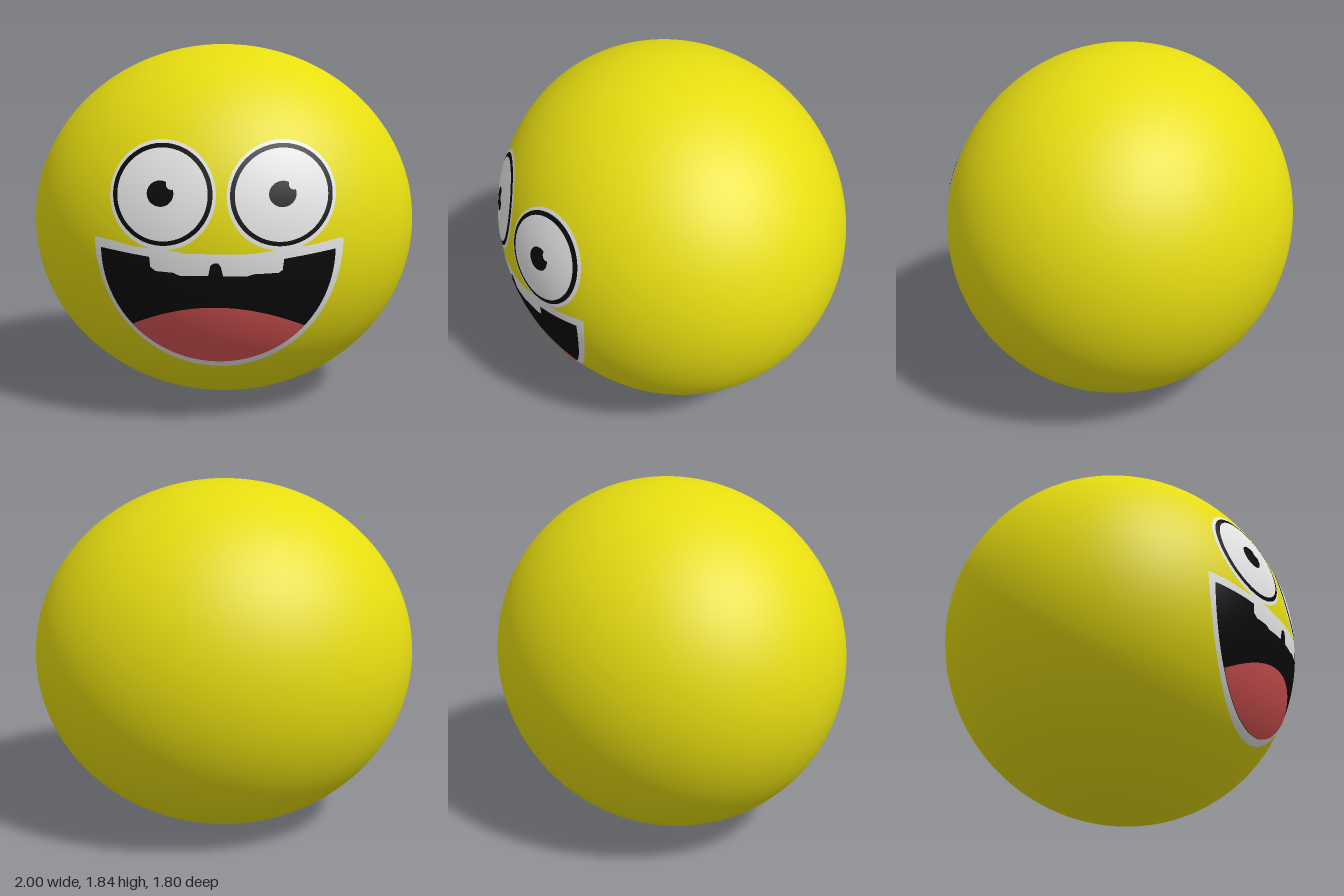
import * as THREE from 'three';

// Radii of the egg-shaped body, resting on y = 0
const RX = 1, RY = 0.92, RZ = 0.9;

const mat = (name, color) => {
  const m = new THREE.MeshStandardMaterial({ color });
  m.name = name;
  return m;
};

// Thin skin on the front of the body between two curves lo(x) and hi(x)
function patch(name, material, layer, cx, rx, lo, hi, breaks = []) {
  const s = 1 + 0.002 * layer, cols = 64, rows = 28;
  const xs = breaks.filter((x) => Math.abs(x - cx) < rx);
  for (let i = 0; i <= cols; i++) xs.push(cx - rx * Math.cos((i / cols) * Math.PI));
  xs.sort((a, b) => a - b);
  const pos = [], nor = [], idx = [];
  xs.forEach((x, i) => {
    const a = lo(x), b = Math.max(a, hi(x));
    for (let j = 0; j <= rows; j++) {
      const y = a + ((b - a) * j) / rows - RY;
      const z = RZ * Math.sqrt(Math.max(0, s * s - (x / RX) ** 2 - (y / RY) ** 2));
      const n = new THREE.Vector3(x / RX ** 2, y / RY ** 2, z / RZ ** 2).normalize();
      pos.push(x, y + RY, z);
      nor.push(n.x, n.y, n.z);
      if (i && j) {
        const d = i * (rows + 1) + j, c = d - rows - 1;
        idx.push(c - 1, d - 1, d, c - 1, d, c);
      }
    }
  });
  const g = new THREE.BufferGeometry();
  g.setAttribute('position', new THREE.Float32BufferAttribute(pos, 3));
  g.setAttribute('normal', new THREE.Float32BufferAttribute(nor, 3));
  g.setIndex(idx);
  const mesh = new THREE.Mesh(g, material);
  mesh.name = name;
  return mesh;
}

// Half-ellipse arc: sign +1 is the upper half, -1 the lower half
const arc = (cx, cy, rx, ry, sign) => (x) =>
  cy + sign * ry * Math.sqrt(Math.max(0, 1 - ((x - cx) / rx) ** 2));

const disc = (name, material, layer, cx, cy, rx, ry) =>
  patch(name, material, layer, cx, rx, arc(cx, cy, rx, ry, -1), arc(cx, cy, rx, ry, 1));

// Piecewise linear curve through points
const polyline = (pts) => (x) => {
  let i = 1;
  while (i < pts.length - 1 && x > pts[i][0]) i++;
  const [x0, y0] = pts[i - 1], [x1, y1] = pts[i];
  return y0 + (y1 - y0) * THREE.MathUtils.clamp((x - x0) / (x1 - x0), 0, 1);
};

export function createModel() {
  const yellow = mat('yellow skin', 0xf0e611);
  const white = mat('white', 0xf8f8f8);
  const black = mat('black', 0x0a0a0a);
  const pink = mat('tongue pink', 0xdc5555);
  const model = new THREE.Group();
  model.name = 'smilingBall';

  // Body
  const sphere = new THREE.SphereGeometry(1, 160, 100);
  sphere.scale(RX, RY, RZ).translate(0, RY, 0);
  const body = new THREE.Mesh(sphere, yellow);
  body.name = 'body';
  model.add(body);

  // Eyes: white rim, black ring, eyeball, pupil with a small glint
  for (const [name, x, px] of [['rightEye', -0.232, -0.238], ['leftEye', 0.303, 0.306]]) {
    const eye = new THREE.Group();
    eye.name = name;
    eye.add(
      disc('rim', white, 1, x, 1.137, 0.244, 0.243),
      disc('ring', black, 2, x, 1.139, 0.229, 0.225),
      disc('eyeball', white, 3, x, 1.139, 0.208, 0.205),
      disc('pupil', black, 4, px, 1.144, 0.061, 0.057),
      disc('glint', white, 5, px + 0.05, 1.186, 0.024, 0.024),
    );
    model.add(eye);
  }

  // Mouth: white lip, black opening cut away around the teeth, tongue
  const lipTop = [[-0.553, 0.936], [-0.47, 0.925], [-0.355, 0.904], [-0.18, 0.893], [-0.12, 0.882],
    [0.17, 0.882], [0.25, 0.893], [0.44, 0.914], [0.54, 0.932], [0.585, 0.936]];
  const teethLine = [[-0.522, 0.888], [-0.288, 0.861], [-0.284, 0.815], [-0.26, 0.797], [-0.18, 0.793],
    [-0.15, 0.78], [-0.022, 0.782], [-0.012, 0.83], [0.005, 0.842], [0.022, 0.842], [0.034, 0.825],
    [0.044, 0.782], [0.15, 0.78], [0.18, 0.79], [0.29, 0.793], [0.308, 0.805], [0.314, 0.856], [0.548, 0.888]];
  const lipBottom = arc(0.016, 0.936, 0.569, 0.636, -1);
  const mouthBottom = arc(0.013, 0.888, 0.535, 0.556, -1);
  const tongueTop = (x) => 0.631 - 0.112 * ((x - 0.013) / 0.402) ** 2;

  const mouth = new THREE.Group();
  mouth.name = 'mouth';
  mouth.add(
    patch('lipAndTeeth', white, 1, 0.016, 0.569, lipBottom, polyline(lipTop), lipTop.map((p) => p[0])),
    patch('opening', black, 2, 0.013, 0.535, mouthBottom, polyline(teethLine), teethLine.map((p) => p[0])),
    patch('tongue', pink, 3, 0.013, 0.402, mouthBottom, tongueTop),
  );
  model.add(mouth);
  return model;
}
